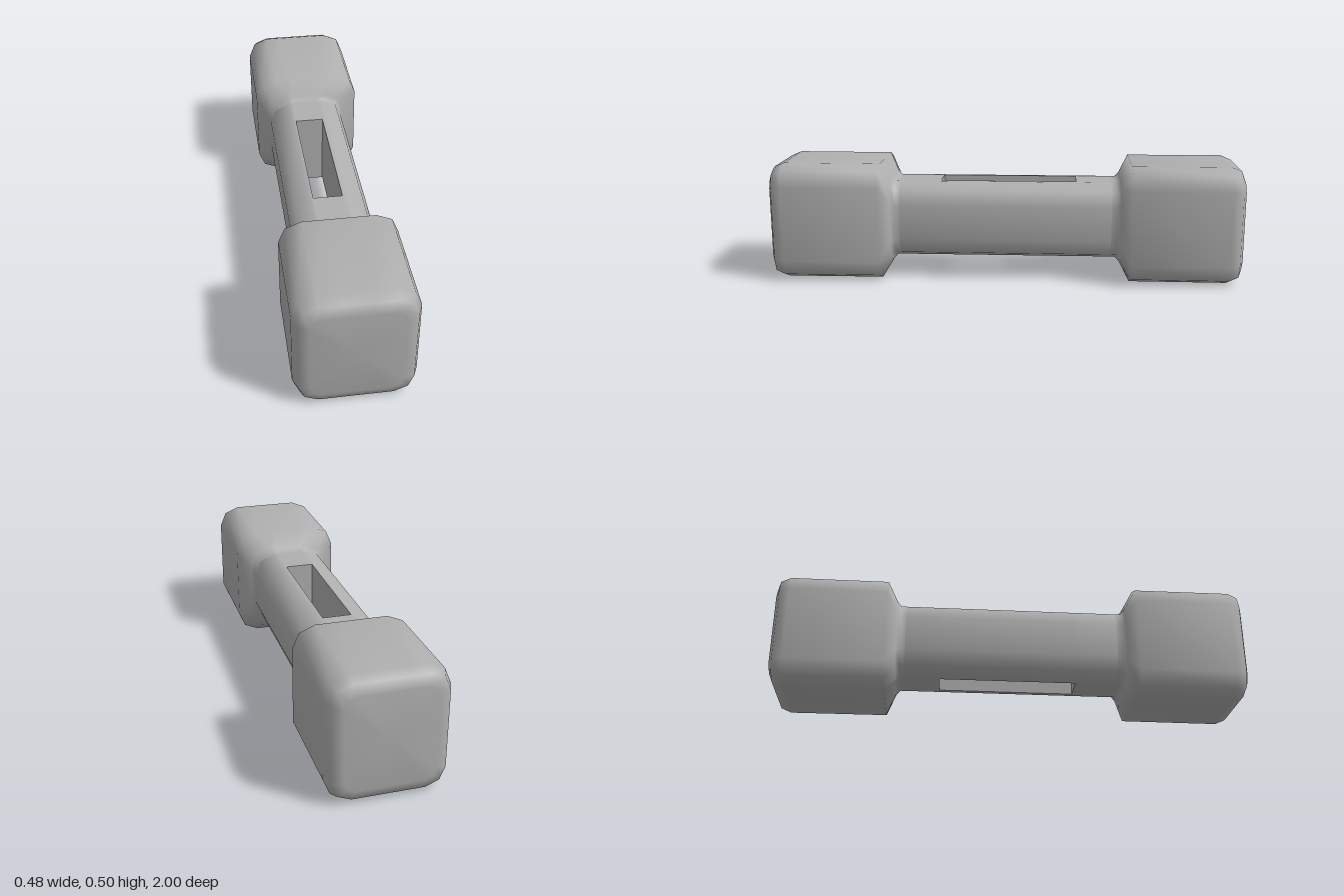
import * as THREE from 'three';

const SLOT = { x0: -0.07, x1: 0.05, z0: -0.30, z1: 0.28 };
const MID_Y = 0.25;

// Rounded-square section, anticlockwise, with extra points at the slot edges
function section(z, cx, hx, hy, r) {
  const corner = (sx, sy) => {
    const pts = [[hx, hy - r], [hx - r * 0.293, hy - r * 0.293], [hx - r, hy]];
    if (sx * sy < 0) pts.reverse();
    return pts.map(([x, y]) => [cx + sx * x, MID_Y + sy * y, z]);
  };
  const top = MID_Y + hy, bottom = MID_Y - hy;
  return [
    ...corner(1, 1), [SLOT.x1, top, z], [SLOT.x0, top, z],
    ...corner(-1, 1),
    ...corner(-1, -1), [SLOT.x0, bottom, z], [SLOT.x1, bottom, z],
    ...corner(1, -1),
  ];
}

// Skin sections ordered by rising z; skip(k, i) leaves a panel open
function loft(sections, { capStart, capEnd, skip = () => false } = {}) {
  const n = sections[0].length;
  const pos = sections.flat(2);
  const index = [];
  for (let k = 0; k < sections.length - 1; k++) {
    for (let i = 0; i < n; i++) {
      if (skip(k, i)) continue;
      const j = (i + 1) % n;
      const a = k * n + i, b = k * n + j, c = b + n, d = a + n;
      index.push(a, b, c, a, c, d);
    }
  }
  const cap = (k, flip) => {
    const centre = pos.length / 3;
    const s = sections[k];
    pos.push((s[1][0] + s[6][0]) / 2, MID_Y, s[0][2]);
    for (let i = 0; i < n; i++) {
      const a = k * n + i, b = k * n + (i + 1) % n;
      index.push(centre, flip ? b : a, flip ? a : b);
    }
  };
  if (capStart) cap(0, true);
  if (capEnd) cap(sections.length - 1, false);
  const geo = new THREE.BufferGeometry();
  geo.setAttribute('position', new THREE.Float32BufferAttribute(pos, 3));
  geo.setIndex(index);
  geo.computeVertexNormals();
  return geo;
}

export function createModel() {
  const group = new THREE.Group();
  const grey = new THREE.MeshStandardMaterial({ color: 0xb0b0b0 });
  grey.name = 'grey';
  const add = (name, geo, parent = group) => {
    const mesh = new THREE.Mesh(geo, grey);
    mesh.name = name;
    parent.add(mesh);
    return mesh;
  };

  const barX = -0.006, barHX = 0.167, barHY = 0.163, barR = 0.09;
  const bar = (z) => section(z, barX, barHX, barHY, barR);

  // Weights: neck, flared shoulder, block and bevelled end
  const weight = (dir, cx) => {
    const rings = [
      bar(dir * 0.45),
      bar(dir * 0.472),
      section(dir * 0.488, barX, 0.178, 0.178, 0.092),
      section(dir * 0.53, cx, 0.234, 0.249, 0.09),
      section(dir * 0.94, cx, 0.234, 0.25, 0.09),
      section(dir * 0.983, cx, 0.216, 0.232, 0.075),
      section(dir, cx, 0.175, 0.19, 0.045),
    ];
    if (dir < 0) rings.reverse();
    return loft(rings, { capStart: dir < 0, capEnd: dir > 0 });
  };
  add('frontWeight', weight(1, -0.005));
  add('backWeight', weight(-1, 0.004));

  // Handle, open above and below between the slot ends
  add('handle', loft(
    [-0.45, SLOT.z0, SLOT.z1, 0.45].map(bar),
    { skip: (k, i) => k === 1 && (i === 3 || i === 11) },
  ));

  // Inner walls of the slot
  const slot = new THREE.Group();
  slot.name = 'slot';
  group.add(slot);
  const w = SLOT.x1 - SLOT.x0, l = SLOT.z1 - SLOT.z0;
  const mx = (SLOT.x0 + SLOT.x1) / 2, mz = (SLOT.z0 + SLOT.z1) / 2;
  const walls = [
    ['slotBackWall', w, mx, SLOT.z0, 0],
    ['slotFrontWall', w, mx, SLOT.z1, Math.PI],
    ['slotRightWall', l, SLOT.x0, mz, Math.PI / 2],
    ['slotLeftWall', l, SLOT.x1, mz, -Math.PI / 2],
  ];
  for (const [name, width, x, z, turn] of walls) {
    const wall = add(name, new THREE.PlaneGeometry(width, barHY * 2), slot);
    wall.position.set(x, MID_Y, z);
    wall.rotation.y = turn;
  }
  return group;
}
